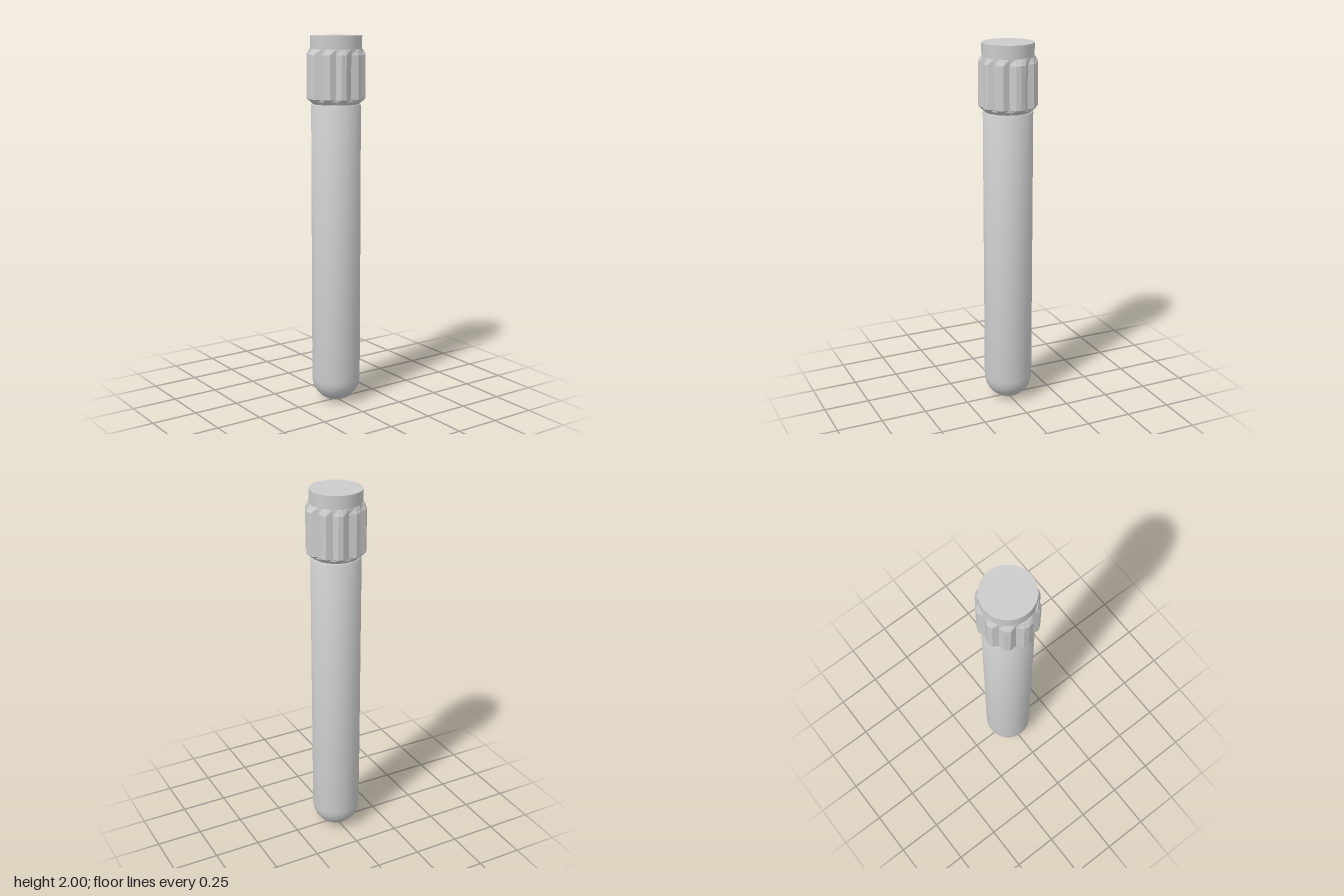
import * as THREE from 'three';
import { toCreasedNormals } from 'three/addons/utils/BufferGeometryUtils.js';

const grey = (extra = {}) => new THREE.MeshStandardMaterial({ color: 0xcccccc, ...extra });

// Lathe with smooth sides and sharp edges
function turned(name, profile, sides) {
  const pts = profile.map(([r, y]) => new THREE.Vector2(r, y));
  const geo = toCreasedNormals(new THREE.LatheGeometry(pts, sides), 0.6);
  const mesh = new THREE.Mesh(geo, grey());
  mesh.name = name;
  return mesh;
}

// One quarter of the grip outline as [degrees, radius]: ridge edges and valleys
const QUARTER = [
  [0, 0.161], [9.5, 0.158], [22, 0.137], [33, 0.156], [43.5, 0.156],
  [55.5, 0.137], [66, 0.155], [76, 0.154], [90, 0.137],
];

// Mirror the quarter into a closed outline
function gripOutline() {
  const half = [...QUARTER, ...QUARTER.slice(0, -1).reverse().map(([a, r]) => [180 - a, r])];
  return [...half, ...half.slice(1, -1).reverse().map(([a, r]) => [360 - a, r])];
}

// Ridged grip: outline rings stacked in y, chamfered at both ends
function ridgedGrip() {
  const outline = gripOutline();
  const n = outline.length;
  // [y, largest radius allowed at this height]
  const rings = [[1.645, 0.125], [1.672, 1], [1.9, 1], [1.93, 0.142], [1.93, 0.12]];
  const pos = [];
  const index = [];
  for (const [y, limit] of rings) {
    for (const [deg, radius] of outline) {
      const a = THREE.MathUtils.degToRad(deg);
      const r = Math.min(radius, limit);
      pos.push(r * Math.cos(a), y, r * Math.sin(a));
    }
  }
  for (let j = 0; j < rings.length - 1; j++) {
    for (let i = 0; i < n; i++) {
      const a = j * n + i, b = j * n + (i + 1) % n;
      index.push(a, a + n, b, b, a + n, b + n);
    }
  }
  // Underside closing fan
  const centre = pos.length / 3;
  pos.push(0, 1.645, 0);
  for (let i = 0; i < n; i++) index.push(centre, i, (i + 1) % n);

  const geo = new THREE.BufferGeometry();
  geo.setAttribute('position', new THREE.Float32BufferAttribute(pos, 3));
  geo.setIndex(index);
  geo.computeVertexNormals();
  const mesh = new THREE.Mesh(geo, grey({ flatShading: true }));
  mesh.name = 'ridgedGrip';
  return mesh;
}

export function createModel() {
  const model = new THREE.Group();
  model.name = 'cappedTube';

  // Round-bottomed tube with a small lip chamfer
  const R = 0.132;
  const profile = [];
  for (let i = 0; i <= 12; i++) {
    const a = (i / 12) * Math.PI / 2;
    profile.push([R * Math.sin(a), R * (1 - Math.cos(a))]);
  }
  profile.push([R, 1.636], [0.128, 1.643], [0, 1.643]);
  const tube = turned('tube', profile, 48);

  // Screw cap: ridged grip below a plain round top
  const cap = new THREE.Group();
  cap.name = 'cap';
  const top = turned('capTop', [[0, 1.64], [0.12, 1.64], [0.137, 1.66], [0.137, 2], [0, 2]], 48);
  cap.add(ridgedGrip(), top);

  tube.position.z = -0.003;
  cap.position.z = -0.003;
  model.add(tube, cap);
  return model;
}
